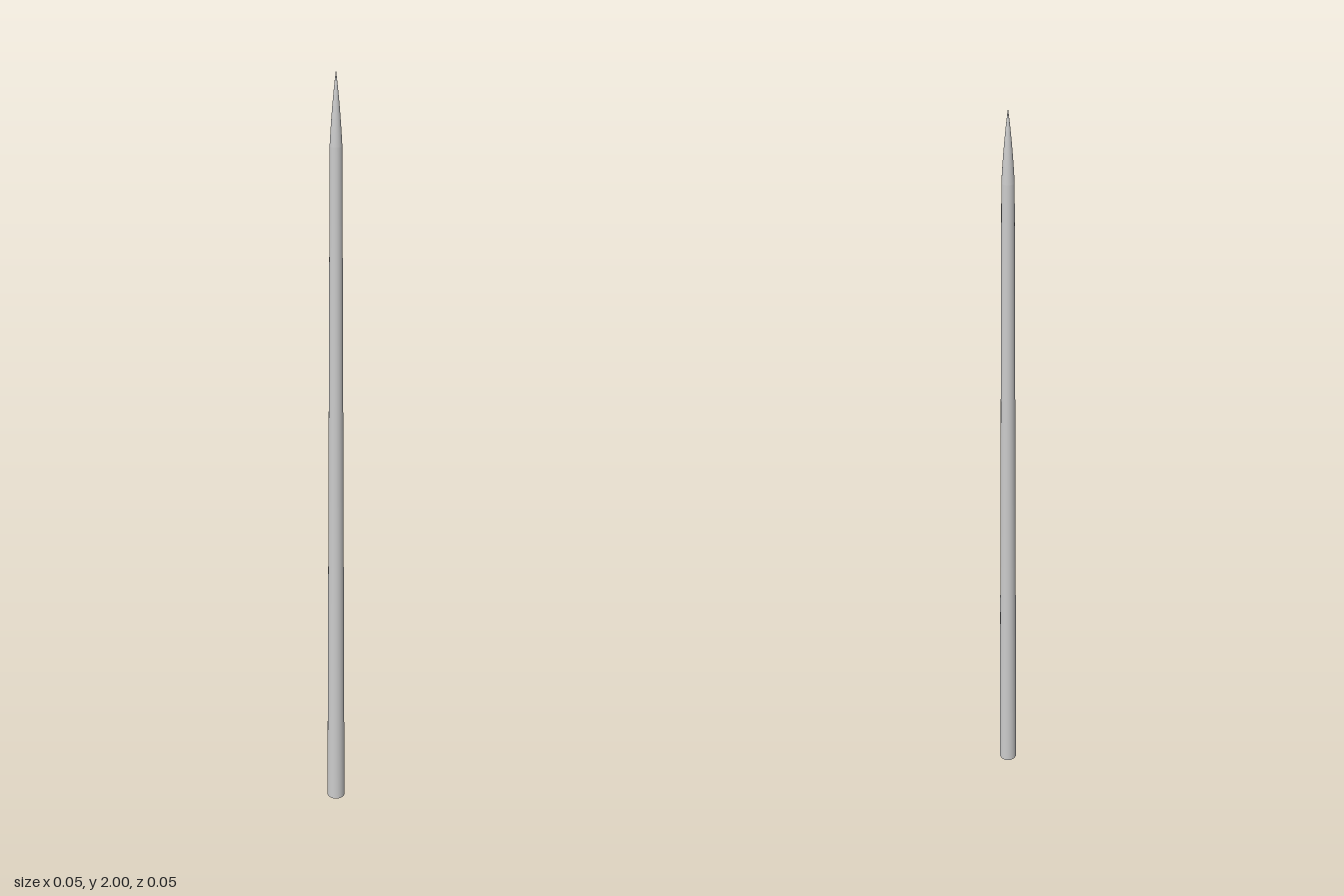
import * as THREE from 'three';

const SIDES = 32;

export function createModel() {
  const group = new THREE.Group();
  const material = new THREE.MeshStandardMaterial({ color: 0xcccccc });

  const shoulderY = 1.83, shoulderR = 0.0145, baseR = 0.024;

  // Long shaft, tapering evenly and closed flat at the foot
  const shaftGeometry = new THREE.CylinderGeometry(shoulderR, baseR, shoulderY, SIDES, 1);
  const shaft = new THREE.Mesh(shaftGeometry, material);
  shaft.name = 'taperedShaft';
  shaft.position.y = shoulderY / 2;
  group.add(shaft);

  // Slightly rounded point
  const profile = new THREE.QuadraticBezierCurve(
    new THREE.Vector2(shoulderR, shoulderY),
    new THREE.Vector2(0.0095, 1.925),
    new THREE.Vector2(0, 2)
  ).getPoints(8);
  const tip = new THREE.Mesh(new THREE.LatheGeometry(profile, SIDES), material);
  tip.name = 'pointedTip';
  group.add(tip);

  return group;
}
